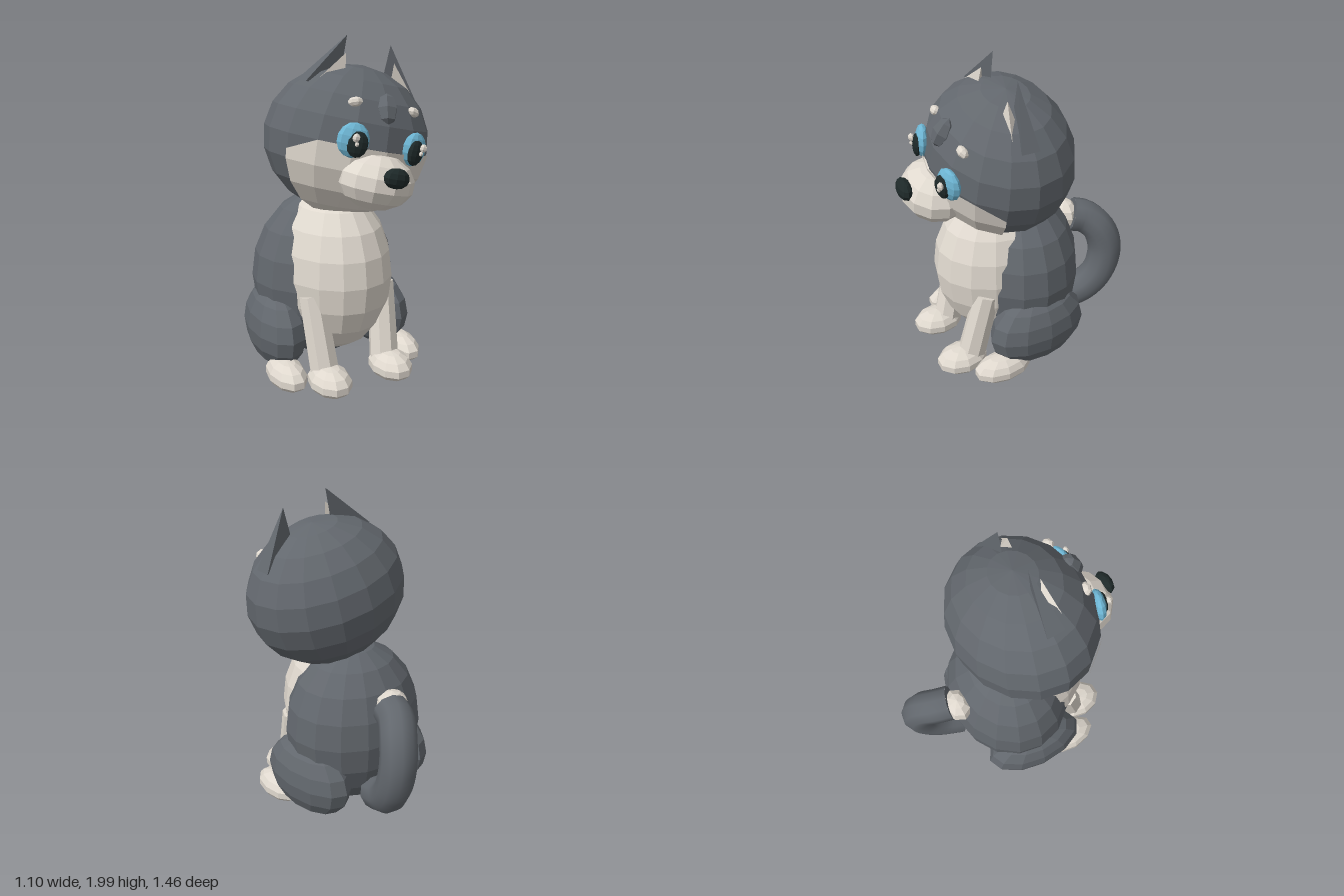
import * as THREE from 'three';
import { ConvexGeometry } from 'three/addons/geometries/ConvexGeometry.js';

const material = (name, color) => {
  const m = new THREE.MeshStandardMaterial({ color });
  m.name = name;
  return m;
};

// Gives every face its own normal for the low-poly look
function faceted(geometry) {
  const g = geometry.index ? geometry.toNonIndexed() : geometry;
  g.computeVertexNormals();
  return g;
}

function add(parent, name, geometry, mat, position = [0, 0, 0], rotation = [0, 0, 0]) {
  const mesh = new THREE.Mesh(geometry, mat);
  mesh.name = name;
  mesh.position.set(...position);
  mesh.rotation.set(...rotation);
  parent.add(mesh);
  return mesh;
}

const ball = (rx, ry, rz, w = 10, h = 7) =>
  faceted(new THREE.SphereGeometry(1, w, h).scale(rx, ry, rz));

// Lower front piece of an ellipsoid, with its upper outer corners pulled down
function lowerFaceGeometry(rx, ry, rz) {
  const columns = 6, width = columns * Math.PI / 8;
  const g = new THREE.SphereGeometry(1, columns, 5, Math.PI / 2 - width / 2, width, Math.PI / 2, Math.PI / 2);
  const p = g.attributes.position;
  const a = new THREE.Vector3(), b = new THREE.Vector3();
  for (const i of [0, columns]) {
    a.fromBufferAttribute(p, i);
    b.fromBufferAttribute(p, i + columns + 1);
    a.lerp(b, 0.6);
    p.setXYZ(i, a.x, a.y, a.z);
  }
  return faceted(g.scale(rx, ry, rz));
}

// Rounded paw with a flat sole
function pawGeometry(rx, rz) {
  const g = new THREE.SphereGeometry(1, 10, 7).scale(rx, 0.092, rz).translate(0, 0.05, 0);
  const p = g.attributes.position;
  for (let i = 0; i < p.count; i++) p.setY(i, Math.max(0, p.getY(i)));
  return faceted(g);
}

// Tapered limb between two points
function limb(parent, name, mat, from, to, r0, r1) {
  const a = new THREE.Vector3(...from), b = new THREE.Vector3(...to);
  const d = b.clone().sub(a);
  const mesh = add(parent, name, faceted(new THREE.CylinderGeometry(r1, r0, d.length(), 8)), mat);
  mesh.position.copy(a).add(b).multiplyScalar(0.5);
  mesh.quaternion.setFromUnitVectors(new THREE.Vector3(0, 1, 0), d.normalize());
}

export function createModel() {
  const fur = material('grey fur', 0x62676d);
  const cream = material('cream fur', 0xdfd8ce);
  const blue = material('blue eye', 0x6db5d3);
  const black = material('black', 0x1e2929);

  const model = new THREE.Group();
  model.name = 'sittingDog';

  // Body and chest
  const body = new THREE.Group();
  body.name = 'body';
  body.position.x = -0.037;
  model.add(body);
  add(body, 'torso', ball(0.45, 0.535, 0.385, 16, 10), fur, [0, 0.54, -0.03]);
  add(body, 'chest', ball(0.345, 0.505, 0.408, 16, 10), cream, [0, 0.6, 0.1]);

  // Legs and paws
  for (const [side, s] of [['left', 1], ['right', -1]]) {
    const thigh = ball(0.172, 0.25, 0.335, 12, 8);
    add(body, side + 'Thigh', thigh, fur, [s * 0.34, 0.255, -0.015], [0, s * 0.1, 0]);
    add(body, side + 'HindPaw', pawGeometry(0.107, 0.188), cream, [s * 0.395, 0, 0.255]);
    add(body, side + 'FrontPaw', pawGeometry(0.122, 0.165), cream, [s * 0.208, 0, 0.45]);
    limb(body, side + 'FrontLeg', cream, [s * 0.205, 0.07, 0.385], [s * 0.235, 0.53, 0.28], 0.09, 0.08);
  }

  // Tail: smooth curved tube with flat ends and a pale root
  const path = new THREE.CatmullRomCurve3([
    [0, 0.79, -0.42], [0.03, 0.77, -0.5], [0.085, 0.69, -0.58], [0.115, 0.55, -0.618],
    [0.115, 0.38, -0.585], [0.085, 0.26, -0.495], [0.045, 0.195, -0.36],
  ].map(p => new THREE.Vector3(...p)));
  add(model, 'tail', new THREE.TubeGeometry(path, 24, 0.11, 10), fur);
  for (const [t, s] of [[0, -1], [1, 1]]) {
    const cap = add(model, 'tailEnd', new THREE.CircleGeometry(0.11, 10), fur);
    cap.position.copy(path.getPoint(t));
    cap.lookAt(cap.position.clone().addScaledVector(path.getTangent(t), s));
  }
  add(model, 'tailRoot', ball(0.108, 0.095, 0.088, 8, 6), cream, [-0.038, 0.79, -0.388]);

  // Tilted head
  const head = new THREE.Group();
  head.name = 'head';
  head.position.set(0.05, 1.393, 0.12);
  head.rotation.z = -0.227;
  model.add(head);
  add(head, 'skull', ball(0.508, 0.435, 0.425, 16, 10), fur);
  add(head, 'lowerFace', lowerFaceGeometry(0.518, 0.452, 0.438), cream);
  add(head, 'muzzle', ball(0.225, 0.158, 0.2, 12, 7), cream, [0, -0.17, 0.385]);
  add(head, 'nose', ball(0.082, 0.057, 0.045, 10, 6), black, [0, -0.115, 0.57]);
  add(head, 'foreheadTuft', ball(0.062, 0.09, 0.05, 6, 4), fur, [-0.005, 0.225, 0.357], [-0.45, 0, 0]);

  for (const [side, s] of [['left', 1], ['right', -1]]) {
    // Eyes and brows
    add(head, side + 'Eye', ball(0.091, 0.096, 0.042), blue, [s * 0.2, 0.034, 0.392], [0, s * 0.28, 0]);
    add(head, side + 'Pupil', ball(0.06, 0.072, 0.028), black, [s * 0.19, 0.018, 0.425], [0, s * 0.25, 0]);
    add(head, side + 'EyeGlint', ball(0.024, 0.024, 0.018, 6, 5), cream, [s * 0.22, 0.053, 0.45]);
    add(head, side + 'EyeGlintSmall', ball(0.013, 0.013, 0.012, 6, 4), cream, [s * 0.21, 0.02, 0.452]);
    add(head, side + 'Brow', ball(0.043, 0.027, 0.03, 7, 5), cream, [s * 0.192, 0.232, 0.322], [-0.4, s * 0.3, s * -0.15]);

    // Pointed ears with pale inner faces
    const pyramid = points => faceted(new ConvexGeometry(points.map(([x, y, z]) => new THREE.Vector3(s * x, y, z))));
    add(head, side + 'Ear', pyramid([
      [0.15, 0.58, 0.02], [0.378, 0.285, -0.035], [0.378, 0.285, 0.072], [0.14, 0.28, 0.02],
    ]), fur);
    add(head, side + 'InnerEar', pyramid([
      [0.165, 0.48, 0.074], [0.345, 0.285, 0.105], [0.15, 0.33, 0.1], [0.24, 0.32, 0.02],
    ]), cream);
  }

  return model;
}
